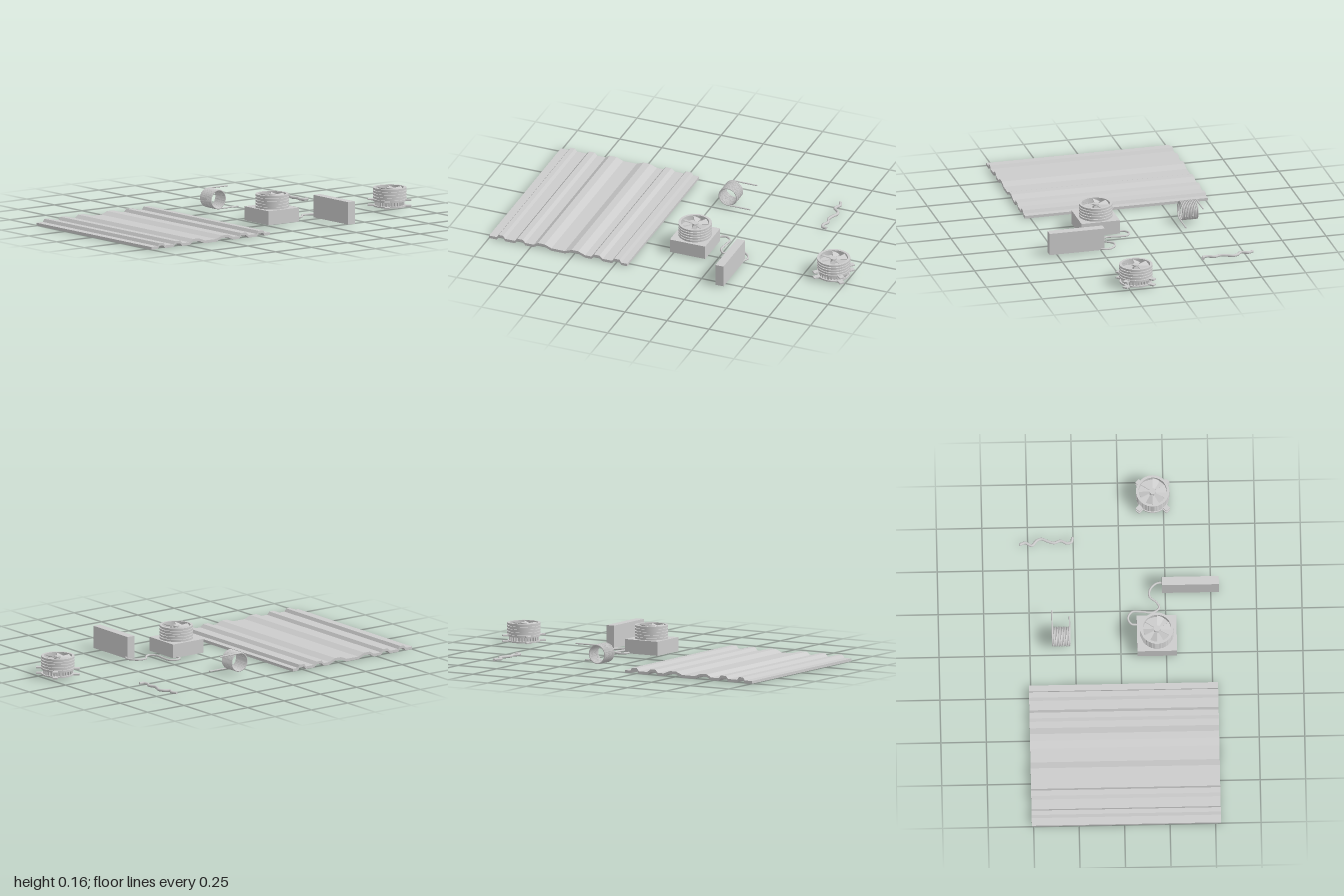
import * as THREE from 'three';
import { toCreasedNormals } from 'three/addons/utils/BufferGeometryUtils.js';

const grey = new THREE.MeshStandardMaterial({ color: 0xcccccc, side: THREE.DoubleSide });

function add(parent, name, geometry, x = 0, y = 0, z = 0) {
  const mesh = new THREE.Mesh(geometry, grey);
  mesh.name = name;
  mesh.position.set(x, y, z);
  parent.add(mesh);
  return mesh;
}

// Box given by its limits on each axis
function box(parent, name, x0, x1, y0, y1, z0, z1) {
  return add(parent, name, new THREE.BoxGeometry(x1 - x0, y1 - y0, z1 - z0),
    (x0 + x1) / 2, (y0 + y1) / 2, (z0 + z1) / 2);
}

const curve = (pts) => new THREE.CatmullRomCurve3(pts.map((p) => new THREE.Vector3(...p)));

// Tube with closed ends
function rod(parent, name, path, radius, segments) {
  add(parent, name, new THREE.TubeGeometry(path, segments, radius, 8));
  for (const t of [0, 1]) {
    const cap = add(parent, name + 'End', new THREE.CircleGeometry(radius, 8));
    cap.position.copy(path.getPointAt(t));
    cap.quaternion.setFromUnitVectors(new THREE.Vector3(0, 0, 1),
      path.getTangentAt(t).multiplyScalar(t ? 1 : -1));
  }
}

// Corrugated roofing sheet: bumps as [foot, crest, crest, foot] along z
function sheet(parent) {
  const low = 0.018, high = 0.034, thick = 0.015;
  const bumps = [
    [0.215, 0.225, 0.257, 0.27], [0.325, 0.345, 0.378, 0.392], [0.43, 0.47, 0.51, 0.55],
    [0.63, 0.67, 0.71, 0.735], [0.785, 0.80, 0.832, 0.847], [0.905, 0.917, 0.943, 0.955],
  ];
  const top = [[0.18, low]];
  for (const [a, b, c, d] of bumps) top.push([a, low], [b, high], [c, high], [d, low]);
  top.push([1, low]);
  const outline = [...top, ...top.map(([z, y]) => [z, y - thick]).reverse()];
  const shape = new THREE.Shape(outline.map(([z, y]) => new THREE.Vector2(-z, y)));
  const geo = new THREE.ExtrudeGeometry(shape, { depth: 1.04, bevelEnabled: false });
  geo.rotateY(Math.PI / 2);
  add(parent, 'corrugatedSheet', geo, -0.51, 0, 0);
}

// Finned round housing with an open top and a bladed wheel inside
function fan(parent, x, y, z) {
  const g = new THREE.Group();
  g.name = 'fan';
  g.position.set(x, y, z);
  parent.add(g);

  const R = 0.092, groove = 0.083, height = 0.075, pitch = 0.016, fin = 0.011;
  const profile = [[0, 0], [R, 0]];
  for (let i = 0; i < 4; i++) {
    const y0 = i * pitch;
    profile.push([R, y0 + fin], [groove, y0 + fin], [groove, y0 + pitch], [R, y0 + pitch]);
  }
  profile.push([R, height], [0.078, height], [0.078, 0.045], [0, 0.045]);
  const lathe = new THREE.LatheGeometry(profile.map((p) => new THREE.Vector2(...p)), 40);
  add(g, 'finnedHousing', toCreasedNormals(lathe, 0.6));

  add(g, 'hub', new THREE.CylinderGeometry(0.018, 0.018, 0.028, 20), 0, 0.058, 0);

  // Pitched wedge blades
  const blade = new THREE.Shape([
    new THREE.Vector2(0.012, -0.005), new THREE.Vector2(0.073, -0.022),
    new THREE.Vector2(0.076, 0), new THREE.Vector2(0.073, 0.022), new THREE.Vector2(0.012, 0.005),
  ]);
  const bladeGeo = new THREE.ExtrudeGeometry(blade, { depth: 0.004, bevelEnabled: false });
  bladeGeo.rotateX(-Math.PI / 2 + 0.4);
  for (let i = 0; i < 6; i++) {
    add(g, 'blade', bladeGeo, 0, 0.06, 0).rotation.y = (i * Math.PI) / 3 + 0.25;
  }
}

// Freestanding fan on a slotted base with diagonal lugs
function slottedFan(parent, x, z) {
  fan(parent, x, 0.043, z);
  const g = new THREE.Group();
  g.name = 'slottedBase';
  g.position.set(x, 0, z);
  parent.add(g);
  add(g, 'basePlate', new THREE.CylinderGeometry(0.09, 0.09, 0.008, 40), 0, 0.016, 0);
  add(g, 'baseCore', new THREE.CylinderGeometry(0.07, 0.07, 0.03, 40), 0, 0.03, 0);
  const slat = new THREE.BoxGeometry(0.012, 0.028, 0.009);
  for (let i = 0; i < 28; i++) {
    const a = (i / 28) * Math.PI * 2;
    add(g, 'slat', slat, 0.076 * Math.cos(a), 0.031, -0.076 * Math.sin(a)).rotation.y = a;
  }
  const lug = new THREE.BoxGeometry(0.045, 0.008, 0.028);
  for (const y of [0.016, 0.048]) {
    for (let i = 0; i < 4; i++) {
      const a = Math.PI / 4 + (i * Math.PI) / 2;
      add(g, 'lug', lug, 0.098 * Math.cos(a), y, -0.098 * Math.sin(a)).rotation.y = a;
    }
  }
}

// Wire coil along x with a straight lead at each end
function coil(parent) {
  const r = 0.051, yc = 0.069, zc = -0.085, x0 = -0.376, x1 = -0.279, turns = 10.5;
  const wire = new THREE.Curve();
  wire.getPoint = (t, out = new THREE.Vector3()) => {
    const a = t * turns * Math.PI * 2;
    return out.set(x0 + (x1 - x0) * t, yc + r * Math.cos(a), zc + r * Math.sin(a));
  };
  add(parent, 'coil', new THREE.TubeGeometry(wire, 420, 0.004, 8));
  for (const [x, y] of [[x0, yc + r], [x1, yc - r]]) {
    const lead = add(parent, 'coilLead', new THREE.CylinderGeometry(0.004, 0.004, 0.135, 8), x, y, zc - 0.0675);
    lead.rotation.x = Math.PI / 2;
  }
}

export function createModel() {
  const model = new THREE.Group();
  model.name = 'coolerParts';

  sheet(model);

  // Fan on a square base, wired to an upright panel
  box(model, 'fanBase', 0.09, 0.308, 0.012, 0.09, -0.192, 0.018);
  fan(model, 0.2, 0.09, -0.088);
  box(model, 'panel', 0.232, 0.545, 0.01, 0.135, -0.398, -0.35);
  rod(model, 'cable', curve([
    [0.1, 0.016, -0.165], [0.06, 0.016, -0.17], [0.042, 0.016, -0.205], [0.065, 0.016, -0.24],
    [0.12, 0.016, -0.24], [0.18, 0.016, -0.235], [0.215, 0.016, -0.262], [0.2, 0.016, -0.295],
    [0.165, 0.016, -0.325], [0.165, 0.016, -0.365], [0.195, 0.016, -0.4], [0.225, 0.016, -0.408],
    [0.255, 0.016, -0.394],
  ]), 0.006, 120);

  coil(model);

  // Loose wavy cord
  rod(model, 'wavyCord', curve([
    [-0.545, 0.016, -0.645], [-0.515, 0.015, -0.656], [-0.478, 0.014, -0.64], [-0.45, 0.014, -0.668],
    [-0.425, 0.014, -0.677], [-0.39, 0.014, -0.663], [-0.355, 0.014, -0.653], [-0.32, 0.014, -0.664],
    [-0.285, 0.014, -0.65], [-0.26, 0.015, -0.656], [-0.253, 0.016, -0.682],
  ]), 0.008, 90);

  slottedFan(model, 0.192, -0.908);
  return model;
}
